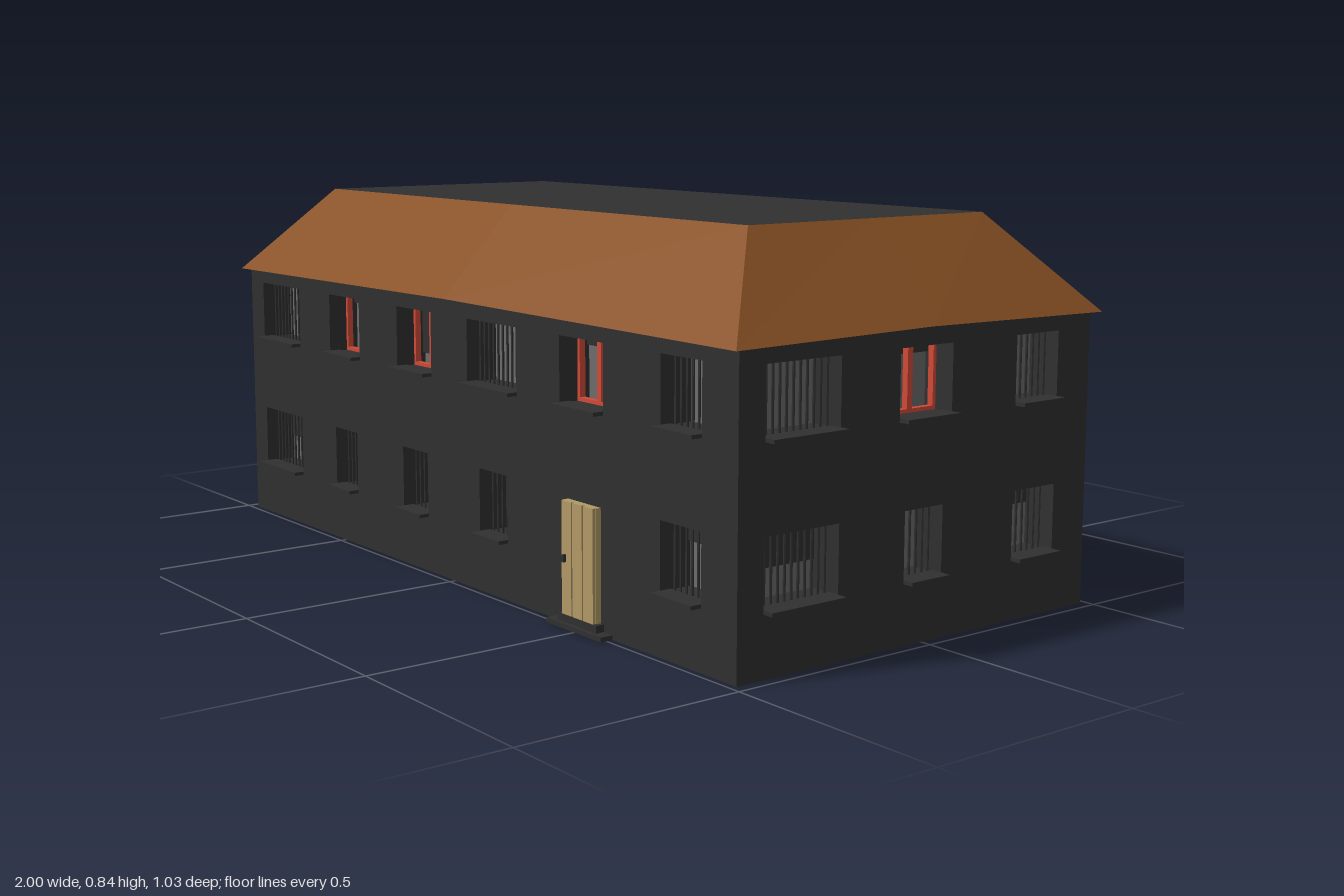
import * as THREE from 'three';

const mat = (color, side = THREE.FrontSide) =>
  new THREE.MeshStandardMaterial({ color, side, flatShading: true });
const DARK = mat(0x303030);
const WALL = mat(0x303030, THREE.DoubleSide);
const GLASS = mat(0x6c6c6c);
const ROOF = mat(0x8a5224, THREE.DoubleSide);
const RED = mat(0xd24a38);
const WOOD = mat(0xb29a66);

const HX = 0.975, HZ = 0.485, WALL_TOP = 0.645, DEPTH = 0.08;

function add(parent, name, geometry, material, x = 0, y = 0, z = 0) {
  const mesh = new THREE.Mesh(geometry, material);
  mesh.name = name;
  mesh.position.set(x, y, z);
  parent.add(mesh);
  return mesh;
}

const box = (w, h, d) => new THREE.BoxGeometry(w, h, d);

function rect(Type, x0, y0, x1, y1) {
  const p = new Type();
  p.moveTo(x0, y0);
  p.lineTo(x1, y0);
  p.lineTo(x1, y1);
  p.lineTo(x0, y1);
  p.closePath();
  return p;
}

// Rectangular ring centred on the origin, t thick outwards, running from z = 0 to d
function ring(w, h, t, d) {
  const s = rect(THREE.Shape, -w / 2 - t, -h / 2 - t, w / 2 + t, h / 2 + t);
  s.holes.push(rect(THREE.Path, -w / 2, -h / 2, w / 2, h / 2));
  return new THREE.ExtrudeGeometry(s, { depth: d, bevelEnabled: false });
}

// Recess lining behind an opening
function recess(parent, w, h, backMaterial) {
  add(parent, 'reveal', ring(w, h, 0.002, DEPTH), DARK, 0, 0, -DEPTH);
  add(parent, 'recessBack', box(w, h, 0.004), backMaterial, 0, 0, -DEPTH + 0.002);
}

// Window: opening x0..x1, y0..y1, blind drawn down to blindY, barred or red framed
function buildWindow({ x0, x1, y0, y1, blindY, framed }) {
  const g = new THREE.Group();
  g.name = framed ? 'framedWindow' : 'barredWindow';
  const w = x1 - x0, h = y1 - y0;
  g.position.set((x0 + x1) / 2, (y0 + y1) / 2, 0);
  recess(g, w, h, GLASS);
  add(g, 'sill', box(w, 0.008, 0.05), DARK, 0, -h / 2 - 0.002, 0);
  if (blindY) {
    const bh = y1 - blindY;
    add(g, 'blind', box(w, bh, 0.004), DARK, 0, h / 2 - bh / 2, -DEPTH + 0.008);
  }
  if (framed) {
    add(g, 'frame', ring(w - 0.016, h - 0.016, 0.008, 0.014), RED, 0, 0, -0.06);
    add(g, 'mullion', box(0.014, h, 0.014), RED, 0, 0, -0.053);
  } else {
    const n = Math.round(w / 0.018);
    const bar = new THREE.CylinderGeometry(0.003, 0.003, h, 6);
    for (let i = 0; i < n; i++)
      add(g, 'bar', bar, DARK, -w / 2 + (i + 0.5) * (w / n), 0, -0.03);
  }
  return g;
}

// Plank door with its doorstep
function buildDoor({ x0, x1, y0, y1 }) {
  const g = new THREE.Group();
  g.name = 'door';
  const w = x1 - x0, h = y1 - y0;
  g.position.set((x0 + x1) / 2, (y0 + y1) / 2, 0);
  recess(g, w, h, DARK);
  const pw = w / 3;
  for (let i = 0; i < 3; i++)
    add(g, 'plank', box(pw - 0.004, h, 0.03), WOOD, (i - 1) * pw, 0, 0.004);
  add(g, 'doorBacking', box(w, h, 0.02), WOOD, 0, 0, 0.002);
  add(g, 'handle', box(0.006, 0.016, 0.008), DARK, -w / 2 + 0.015, 0, 0.022);
  add(g, 'doorstep', box(0.19, 0.01, 0.06), DARK, 0, 0.005 - (y0 + y1) / 2, 0);
  add(g, 'threshold', box(w + 0.02, 0.02, 0.04), DARK, 0, 0.016 - (y0 + y1) / 2, 0);
  return g;
}

// One wall facing +z with its openings
function buildSide(half, windows, door) {
  const g = new THREE.Group();
  const s = rect(THREE.Shape, -half, 0, half, WALL_TOP);
  for (const o of door ? [...windows, door] : windows)
    s.holes.push(rect(THREE.Path, o.x0, o.y0, o.x1, o.y1));
  add(g, 'wall', new THREE.ShapeGeometry(s), WALL);
  for (const o of windows) g.add(buildWindow(o));
  if (door) g.add(buildDoor(door));
  return g;
}

const upper = (x0, x1, framed = false, blindY = 0) =>
  ({ x0, x1, y0: 0.46, y1: 0.6, framed, blindY });
const lower = (x0, x1, blindY = 0) => ({ x0, x1, y0: 0.133, y1: 0.275, blindY });

const LONG = [
  upper(-0.91, -0.715), upper(-0.56, -0.415, true, 0.575), upper(-0.24, -0.09, true, 0.487),
  upper(0.06, 0.255), upper(0.41, 0.56, true, 0.575), upper(0.745, 0.87),
  lower(-0.91, -0.715, 0.195), lower(-0.54, -0.435), lower(-0.22, -0.11),
  lower(0.105, 0.215, 0.235), lower(0.745, 0.87, 0.225),
];
const SHORT = [
  upper(-0.42, -0.23), upper(-0.073, 0.073, true, 0.575), upper(0.26, 0.387),
  lower(-0.42, -0.23, 0.192), lower(-0.053, 0.053), lower(0.26, 0.387, 0.225),
];
const DOOR = { x0: 0.44, x1: 0.552, y0: 0.026, y1: 0.265 };

// Hipped roof skirt: eave ring dips at the corners, top ring carries the flat deck
function roofGeometry() {
  const loop = [[-1, 1], [0, 1], [1, 1], [1, 0], [1, -1], [0, -1], [-1, -1], [-1, 0]];
  const pos = [], index = [];
  for (const [x, z] of loop) {
    pos.push(x * 0.99, x && z ? 0.632 : 0.639, z * 0.505);
    pos.push(x * 0.81, 0.84, z * 0.325);
  }
  for (let i = 0; i < 8; i++) {
    const a = i * 2, b = ((i + 1) % 8) * 2;
    index.push(a, b, b + 1, a, b + 1, a + 1);
  }
  const geo = new THREE.BufferGeometry();
  geo.setAttribute('position', new THREE.Float32BufferAttribute(pos, 3));
  geo.setIndex(index);
  const flat = geo.toNonIndexed();
  flat.computeVertexNormals();
  return flat;
}

export function createModel() {
  const model = new THREE.Group();
  model.name = 'house';

  // Opposite walls are half-turn copies of each other
  for (const [i, label] of ['front', 'back'].entries()) {
    const long = buildSide(HX, LONG, DOOR);
    long.name = label + 'Side';
    long.rotation.y = i * Math.PI;
    long.position.z = i ? -HZ : HZ;
    model.add(long);

    const short = buildSide(HZ, SHORT);
    short.name = i ? 'rightSide' : 'leftSide';
    short.rotation.y = Math.PI / 2 + i * Math.PI;
    short.position.x = i ? -HX : HX;
    model.add(short);
  }

  add(model, 'roofSlopes', roofGeometry(), ROOF);
  const deck = add(model, 'roofDeck', new THREE.PlaneGeometry(1.62, 0.65), WALL, 0, 0.84, 0);
  deck.rotation.x = -Math.PI / 2;
  return model;
}
